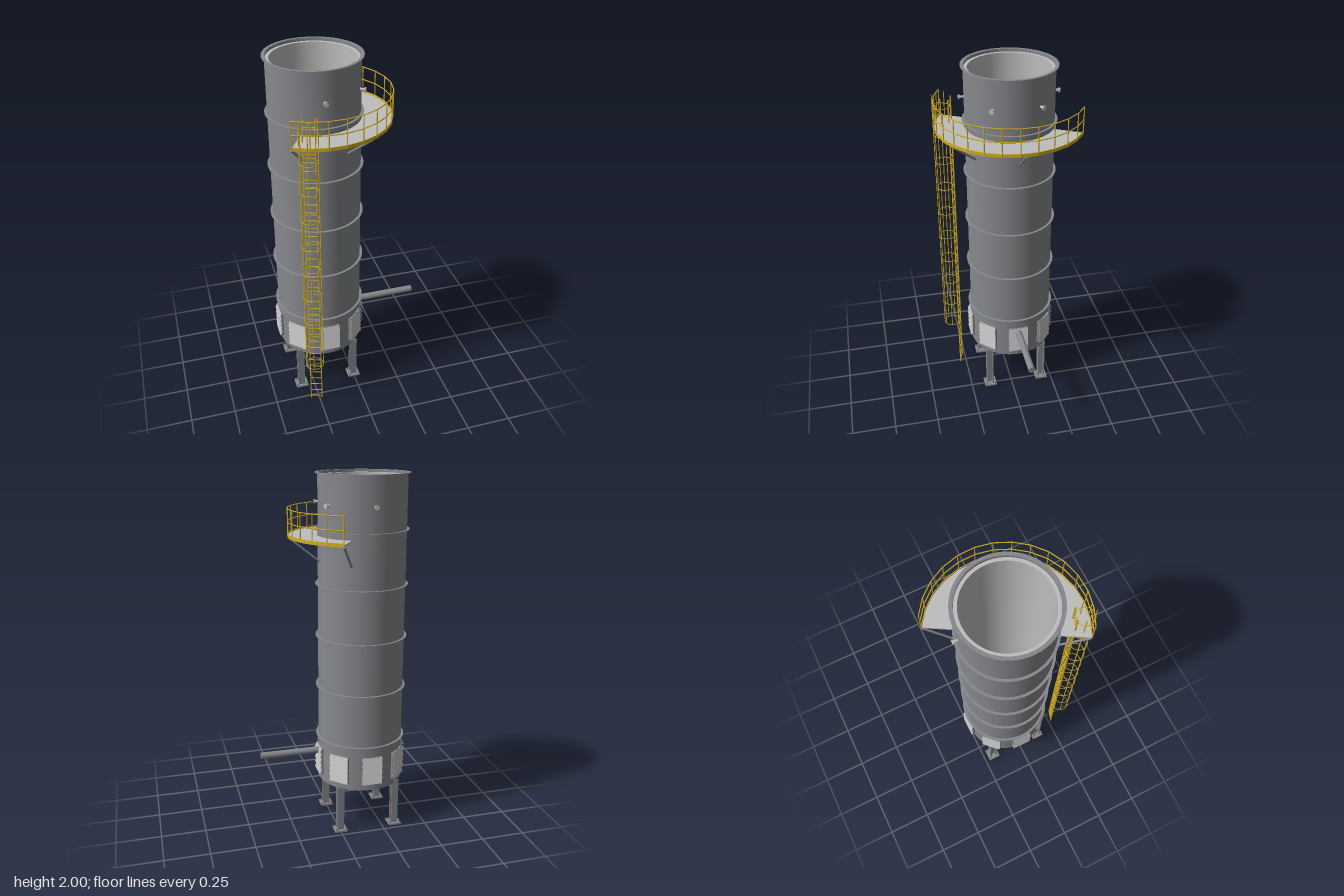
import * as THREE from 'three';
import { toCreasedNormals } from 'three/addons/utils/BufferGeometryUtils.js';

const paint = (name, color) => {
  const m = new THREE.MeshStandardMaterial({ color });
  m.name = name;
  return m;
};

export function createModel() {
  const steel = paint('grey steel', 0x86888c);
  const dark = paint('dark steel', 0x6a6c70);
  const light = paint('light galvanised', 0xbebebe);
  const yellow = paint('safety yellow', 0xd2b020);

  const model = new THREE.Group();
  model.name = 'flareStack';
  const stack = new THREE.Group();
  stack.name = 'stack';
  stack.position.set(-0.163, 0, -0.027);
  model.add(stack);

  const rad = THREE.MathUtils.degToRad;
  const Y = new THREE.Vector3(0, 1, 0);

  function add(name, geo, mat, parent = stack, x = 0, y = 0, z = 0) {
    const mesh = new THREE.Mesh(geo, mat);
    mesh.name = name;
    mesh.position.set(x, y, z);
    parent.add(mesh);
    return mesh;
  }
  // point at an angle from +x towards +z
  const polar = (deg, r, y = 0) =>
    new THREE.Vector3(r * Math.cos(rad(deg)), y, r * Math.sin(rad(deg)));
  // group whose local +x points outwards at the given angle
  function radial(name, deg) {
    const g = new THREE.Group();
    g.name = name;
    g.rotation.y = -rad(deg);
    stack.add(g);
    return g;
  }
  function bar(name, p, q, r, mat, parent = stack, sides = 6) {
    const d = q.clone().sub(p);
    const mesh = add(name, new THREE.CylinderGeometry(r, r, d.length(), sides), mat, parent);
    mesh.position.copy(p).add(q).multiplyScalar(0.5);
    mesh.quaternion.setFromUnitVectors(Y, d.normalize());
  }
  function ring(name, ri, ro, y0, y1, mat) {
    const pts = [[ri, y0], [ro, y0], [ro, y1], [ri, y1], [ri, y0]].map(p => new THREE.Vector2(...p));
    add(name, toCreasedNormals(new THREE.LatheGeometry(pts, 64), 0.6), mat);
  }

  // shell, lining and stiffening rings
  ring('shell', 0.234, 0.239, 0.272, 1.998, steel);
  ring('lining', 0.217, 0.235, 0.29, 1.985, light);
  ring('bottomRing', 0.2, 0.2395, 0.27, 0.29, steel);
  ring('topRim', 0.237, 0.253, 1.995, 2, steel);
  for (const y of [0.53, 0.83, 1.12, 1.41, 1.705]) ring('stiffener', 0.237, 0.253, y - 0.0025, y + 0.0025, steel);

  // legs: H-beams on bolted base plates
  for (const sx of [-1, 1]) for (const sz of [-1, 1]) {
    const leg = new THREE.Group();
    leg.name = 'leg';
    leg.position.set(sx * 0.162, 0, sz * 0.162);
    stack.add(leg);
    add('basePlate', new THREE.BoxGeometry(0.072, 0.01, 0.072), steel, leg, 0, 0.005, 0);
    add('legWeb', new THREE.BoxGeometry(0.006, 0.27, 0.034), steel, leg, 0, 0.145, 0);
    for (const s of [-1, 1]) {
      add('legFlange', new THREE.BoxGeometry(0.038, 0.27, 0.006), steel, leg, 0, 0.145, s * 0.017);
      for (const t of [-1, 1])
        add('bolt', new THREE.CylinderGeometry(0.004, 0.004, 0.008, 6), dark, leg, s * 0.027, 0.014, t * 0.027);
    }
  }

  // air inlet louvres
  for (let i = 0; i < 8; i++) {
    const g = radial('louvre', i * 45);
    add('louvreBack', new THREE.BoxGeometry(0.012, 0.16, 0.114), steel, g, 0.237, 0.39, 0);
    for (let k = 0; k < 5; k++) {
      const slat = add('louvreSlat', new THREE.BoxGeometry(0.003, 0.031, 0.114), light, g, 0.248, 0.326 + k * 0.032, 0);
      slat.rotation.z = 0.35;
    }
  }

  // gas pipe and burner ring
  bar('gasPipe', new THREE.Vector3(0.208, 0.443, 0), new THREE.Vector3(0.583, 0.443, 0), 0.019, steel, stack, 24);
  const burner = add('burnerRing', new THREE.TorusGeometry(0.132, 0.013, 12, 48), dark, stack, 0, 0.443, 0);
  burner.rotation.x = Math.PI / 2;
  for (let i = 0; i < 6; i++)
    bar('burnerNozzle', polar(i * 60, 0.132, 0.443), polar(i * 60, 0.132, 0.475), 0.01, dark, stack, 12);

  // sampling ports
  for (let i = 0; i < 4; i++) {
    const a = -88.5 + i * 60;
    bar('port', polar(a, 0.23, 1.84), polar(a, 0.266, 1.84), 0.007, light, stack, 12);
    bar('portFlange', polar(a, 0.262, 1.84), polar(a, 0.269, 1.84), 0.013, light, stack, 12);
  }

  // half-round platform deck
  const SEG = 14, R = 0.4, step = 180 / SEG, start = -60;
  const deck = new THREE.Shape();
  for (let i = 0; i <= SEG; i++) {
    const p = polar(start + i * step, R);
    i ? deck.lineTo(p.x, p.z) : deck.moveTo(p.x, p.z);
  }
  for (let i = 2 * SEG; i >= 0; i--) {
    const p = polar(start + i * step / 2, 0.242);
    deck.lineTo(p.x, p.z);
  }
  const deckGeo = new THREE.ExtrudeGeometry(deck, { depth: 0.01, bevelEnabled: false });
  deckGeo.rotateX(Math.PI / 2);
  add('platformDeck', deckGeo, light, stack, 0, 1.674, 0);

  // guard rail with toe board
  for (let i = 0; i <= SEG; i++) {
    const a = start + i * step;
    bar('railPost', polar(a, R, 1.665), polar(a, R, 1.815), 0.003, yellow);
    if (i === SEG) break;
    for (const y of [1.815, 1.745])
      bar('guardRail', polar(a, R, y), polar(a + step, R, y), 0.003, yellow);
    const g = radial('toeBoardSection', a + step / 2);
    add('toeBoard', new THREE.BoxGeometry(0.004, 0.018, 2 * R * Math.sin(rad(step / 2))), yellow, g,
      R * Math.cos(rad(step / 2)), 1.674, 0);
  }

  // diagonal braces under the platform
  for (const a of [-60, 0, 60, 120])
    bar('platformBrace', polar(a, 0.396, 1.664), polar(a, 0.236, 1.538), 0.006, steel, stack, 10);

  // ladder
  const ladder = radial('ladder', 108.7);
  const lr = 0.32, half = 0.032;
  for (const s of [-1, 1])
    add('ladderStile', new THREE.BoxGeometry(0.007, 1.8, 0.005), yellow, ladder, lr, 0.9, s * half);
  for (let y = 0.015; y < 1.8; y += 0.047)
    bar('rung', new THREE.Vector3(lr, y, -half), new THREE.Vector3(lr, y, half), 0.0028, yellow, ladder);

  // safety cage
  const cr = 0.048, cx = 0.366;
  for (let k = 0; k < 10; k++) {
    const hoop = add('cageHoop', new THREE.TorusGeometry(cr, 0.002, 6, 28), yellow, ladder, cx, 0.312 + k * 0.16, 0);
    hoop.rotation.x = Math.PI / 2;
  }
  for (const a of [-100, -50, 0, 50, 100]) {
    const p = polar(a, cr);
    bar('cageBar', new THREE.Vector3(cx + p.x, 0.31, p.z), new THREE.Vector3(cx + p.x, 1.815, p.z), 0.0026, yellow, ladder);
  }
  return model;
}
